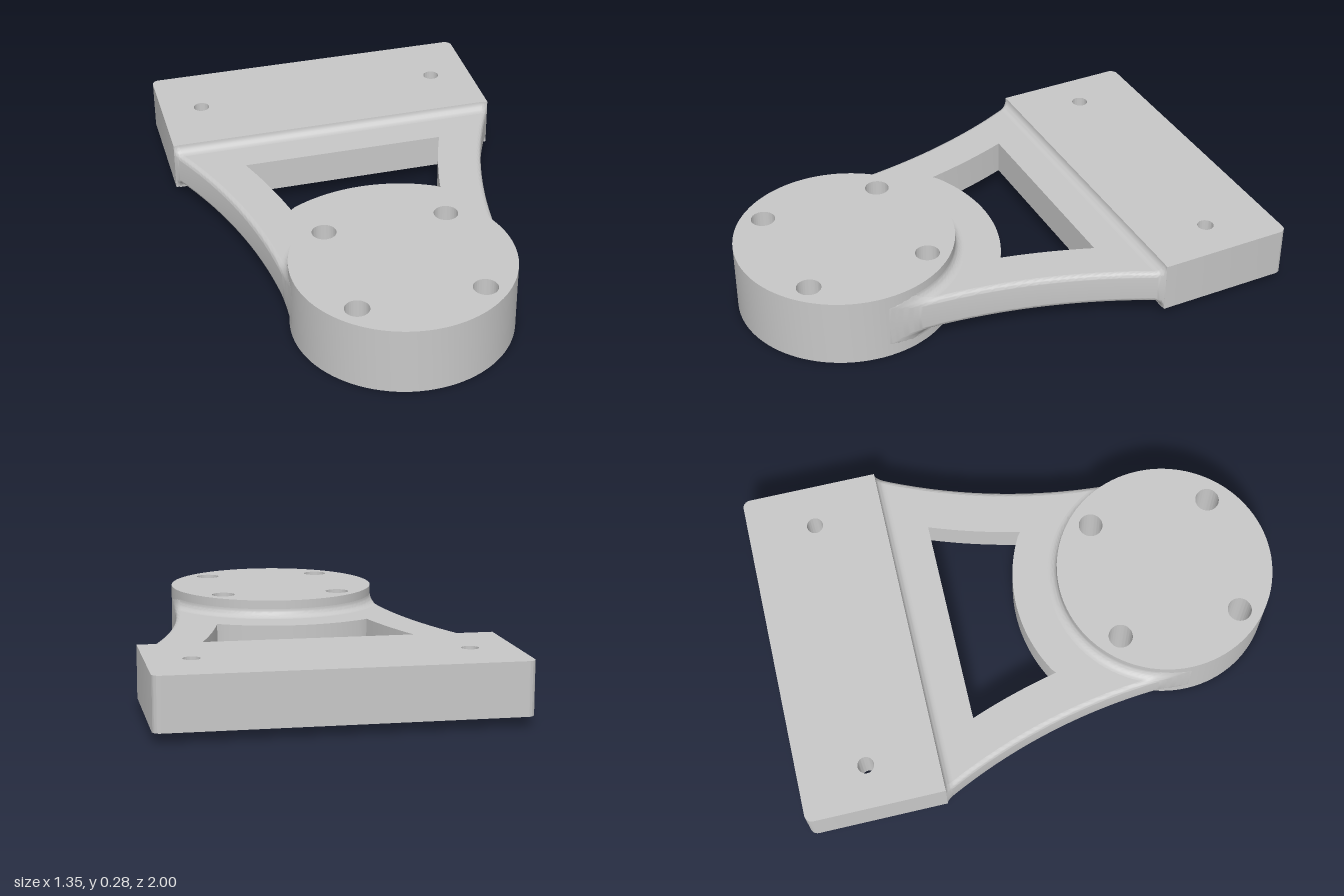
import * as THREE from 'three';
import { toCreasedNormals } from 'three/addons/utils/BufferGeometryUtils.js';

const MID = 0.1375;                 // height of the symmetry plane
const DISC_Z = 0.573, DISC_R = 0.425;
const BLOCK_Z = -0.46, BLOCK_W = 0.675;
const WEB_H = 0.135, FILLET = 0.035, ROUND = 0.02;
const ARC_R = 2.26, ARC_X = DISC_R + ARC_R;   // concave flank of the web

// x of an arc concentric with the web flank, moved inward by inset
const flank = (z, inset = 0) => ARC_X - Math.sqrt((ARC_R + inset) ** 2 - (z - DISC_Z) ** 2);

// where the flat part of the web runs into the disc
const JOIN_Z = DISC_Z - 0.109;
const JOIN_ANGLE = Math.atan2(DISC_Z - JOIN_Z, flank(JOIN_Z, ROUND));
const JOIN_R = Math.hypot(DISC_Z - JOIN_Z, flank(JOIN_Z, ROUND));

// points along the flank from z0 to z1, in shape space (y = -z)
function flankPoints(z0, z1, side, inset, n = 32) {
  return Array.from({ length: n + 1 }, (_, i) => {
    const z = z0 + (z1 - z0) * i / n;
    return new THREE.Vector2(side * flank(z, inset), -z);
  });
}

// arc around the disc centre, in shape space
function discArc(radius, a0, a1, n = 64) {
  return Array.from({ length: n + 1 }, (_, i) => {
    const a = a0 + (a1 - a0) * i / n;
    return new THREE.Vector2(radius * Math.cos(a), radius * Math.sin(a) - DISC_Z);
  });
}

function drill(shape, x, z, r) {
  shape.holes.push(new THREE.Path().absarc(x, -z, r, 0, Math.PI * 2, true));
}

// upright plate centred on y = 0
function plate(shape, height) {
  const g = new THREE.ExtrudeGeometry(shape, { depth: height, bevelEnabled: false, curveSegments: 48 });
  g.translate(0, 0, -height / 2).rotateX(-Math.PI / 2);
  return toCreasedNormals(g, 0.5);
}

// surface through rows of points of equal length
function loft(rows) {
  const n = rows[0].length, index = [];
  for (let r = 0; r < rows.length - 1; r++) {
    for (let i = 0; i < n - 1; i++) {
      const a = r * n + i, c = a + n;
      index.push(a, a + 1, c, a + 1, c + 1, c);
    }
  }
  const g = new THREE.BufferGeometry();
  g.setAttribute('position', new THREE.Float32BufferAttribute(rows.flat(2), 3));
  g.setIndex(index);
  return toCreasedNormals(g, 0.6);
}

// quarter-circle profile: sample distances, and height at distance d
const STEPS = 8;
const samples = radius => Array.from({ length: STEPS + 1 }, (_, i) => radius * (1 - Math.cos(i / STEPS * Math.PI / 2)));
const cove = (d, radius) => {
  const t = radius - Math.min(Math.max(d, 0), radius);
  return radius - Math.sqrt(radius ** 2 - t ** 2);
};
const offsets = samples(FILLET);

// fillet around the disc, trimmed where the web narrows
function discFillet() {
  const rows = [];
  for (let k = 0; k <= 128; k++) {
    const a = JOIN_ANGLE + (Math.PI - 2 * JOIN_ANGLE) * k / 128, c = Math.cos(a), s = Math.sin(a);
    const inside = d => Math.abs((DISC_R + d) * c) <= flank(DISC_Z - (DISC_R + d) * s, ROUND);
    let lo = 0, hi = FILLET;
    if (inside(FILLET)) lo = FILLET;
    else for (let j = 0; j < 24; j++) {
      const m = (lo + hi) / 2;
      if (inside(m)) lo = m; else hi = m;
    }
    rows.push(offsets.map(o => {
      const d = Math.min(o, lo);
      return [(DISC_R + d) * c, WEB_H / 2 + cove(d, FILLET), DISC_Z - (DISC_R + d) * s];
    }));
  }
  return loft(rows);
}

// straight fillet along the block
function blockFillet() {
  return loft([-1, 1].map(u => offsets.map(d =>
    [u * flank(BLOCK_Z + d, ROUND), WEB_H / 2 + cove(d, FILLET), BLOCK_Z + d])));
}

// upper half of one flank: rounded edge that climbs both fillets, then a wall
function flankStrip() {
  const start = BLOCK_Z + FILLET, n = 96;
  const zs = offsets.slice(0, -1);
  const stations = zs.map(d => BLOCK_Z + d);
  for (let i = 0; i <= n; i++) stations.push(start + (DISC_Z - start) * i / n);
  const insets = samples(ROUND).reverse();
  return loft(stations.reverse().map(z => {
    const row = insets.map(s => {
      const x = flank(z, s);
      const climb = Math.max(cove(z - BLOCK_Z, FILLET), cove(Math.hypot(x, z - DISC_Z) - DISC_R, FILLET));
      return [x, WEB_H / 2 + climb - cove(s, ROUND), z];
    });
    return [...row, [flank(z), 0, z]];
  }));
}

export function createModel() {
  const model = new THREE.Group();
  model.name = 'mountingBracket';
  const body = new THREE.Group();
  body.name = 'bracketBody';
  body.position.y = MID;
  model.add(body);

  const grey = new THREE.MeshStandardMaterial({ color: 0xc8c8c8 });
  grey.name = 'grey';
  const add = (name, geometry) => {
    const mesh = new THREE.Mesh(geometry, grey);
    mesh.name = name;
    body.add(mesh);
    return mesh;
  };

  // round flange with four bolt holes
  const disc = new THREE.Shape().absarc(0, -DISC_Z, DISC_R, 0, Math.PI * 2, false);
  for (const x of [-0.24, 0.24]) for (const z of [-0.24, 0.24]) drill(disc, x, DISC_Z + z, 0.047);
  add('roundFlange', plate(disc, MID * 2));

  // rectangular block with rounded rear corners and two holes
  const c = 0.03;
  const block = new THREE.Shape();
  block.moveTo(-BLOCK_W, -BLOCK_Z).lineTo(BLOCK_W, -BLOCK_Z).lineTo(BLOCK_W, 1 - c);
  block.absarc(BLOCK_W - c, 1 - c, c, 0, Math.PI / 2, false);
  block.lineTo(-BLOCK_W + c, 1);
  block.absarc(-BLOCK_W + c, 1 - c, c, Math.PI / 2, Math.PI, false);
  block.closePath();
  for (const x of [-0.507, 0.507]) drill(block, x, -0.735, 0.032);
  add('mountingBlock', plate(block, 0.2));

  // thin web joining the two, with a window wound against the outline
  const web = new THREE.Shape([
    ...flankPoints(JOIN_Z, BLOCK_Z, -1, ROUND),
    ...flankPoints(BLOCK_Z, JOIN_Z, 1, ROUND),
    ...discArc(JOIN_R, JOIN_ANGLE, Math.PI - JOIN_ANGLE).slice(1, -1),
  ]);
  const rim = 0.6, inset = 0.175, zBack = -0.295, zFront = 0.06;
  const corner = Math.acos(flank(zFront, inset) / rim);
  web.holes.push(new THREE.Path([
    ...flankPoints(zFront, zBack, -1, inset, 12),
    ...flankPoints(zBack, zFront, 1, inset, 12),
    ...discArc(rim, corner, Math.PI - corner, 32).slice(1, -1),
  ].reverse()));
  add('web', plate(web, WEB_H));

  // fillets and rounded flanks, mirrored to the lower face and the other side
  const ring = discFillet(), strip = blockFillet(), edge = flankStrip();
  for (const [level, sy] of [['upper', 1], ['lower', -1]]) {
    add(level + 'FlangeFillet', ring).scale.y = sy;
    add(level + 'BlockFillet', strip).scale.y = sy;
    for (const [side, sx] of [['Left', 1], ['Right', -1]]) {
      add(level + side + 'Flank', edge).scale.set(sx, sy, 1);
    }
  }
  return model;
}
